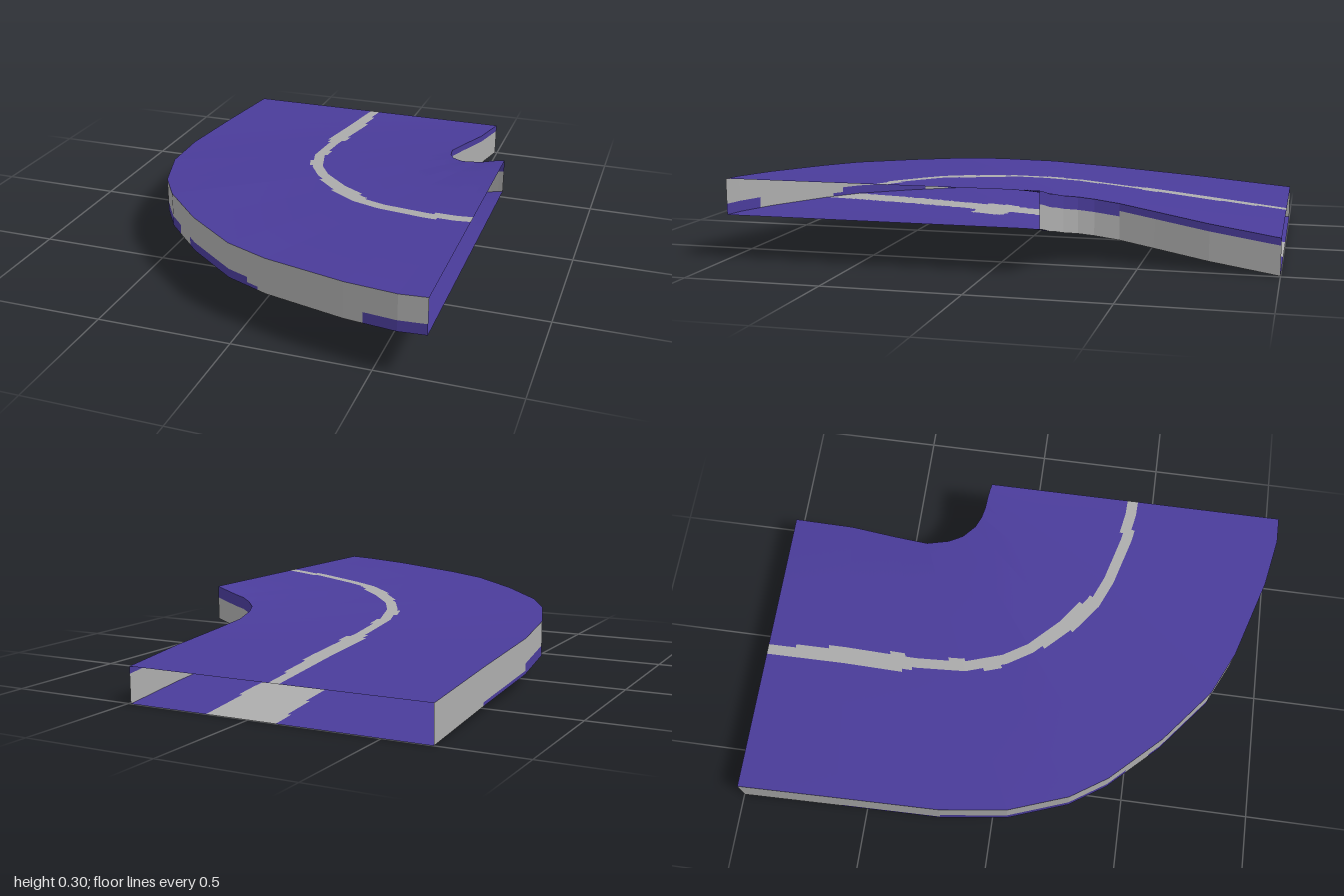
import * as THREE from 'three';

const THICK = 0.135;

// Stations along the bend: outer x, outer z, inner x, inner z, underside height
const stations = [
  [-0.68, -1, 0.49, -1, 0],
  [-0.68, -0.6, 0.47, -0.75, 0.035],
  [-0.68, -0.2, 0.435, -0.55, 0.065],
  [-0.65, 0.06, 0.415, -0.42, 0.085],
  [-0.57, 0.29, 0.43, -0.33, 0.1],
  [-0.48, 0.43, 0.455, -0.275, 0.11],
  [-0.3, 0.62, 0.5, -0.23, 0.12],
  [-0.09, 0.79, 0.54, -0.21, 0.131],
  [0.08, 0.87, 0.58, -0.2, 0.138],
  [0.39, 0.965, 0.63, -0.195, 0.152],
  [0.58, 1, 0.66, -0.19, 0.16],
  [0.68, 1, 0.68, -0.185, 0.165],
];

// Top centre line: x, z, half width
const centreLine = [
  [-0.1, -1, 0.022], [-0.1, -0.79, 0.022], [-0.1, -0.74, 0.037], [-0.105, -0.44, 0.034],
  [-0.103, -0.38, 0.022], [-0.095, -0.18, 0.025], [-0.065, -0.06, 0.026], [-0.01, 0.05, 0.023],
  [0.1, 0.18, 0.025], [0.14, 0.22, 0.038], [0.18, 0.25, 0.035], [0.24, 0.305, 0.024],
  [0.36, 0.355, 0.023], [0.5, 0.387, 0.022], [0.68, 0.405, 0.022],
];

// Underside band: z, left x, right x
const underBand = [
  [-1, -0.11, 0.17], [-0.5, -0.08, 0.16], [-0.38, -0.06, 0.11], [0.07, -0.04, 0.11],
  [0.08, -0.07, 0.21], [0.2, -0.07, 0.21], [0.21, -0.04, 0.11], [0.9, -0.1, 0.07],
];

const lerp = THREE.MathUtils.lerp;

// Linear interpolation through the stations, u in 0..stations.length-1
function station(u) {
  const i = Math.min(Math.floor(u), stations.length - 2);
  return stations[i].map((a, k) => lerp(a, stations[i + 1][k], u - i));
}

function onCentreLine(x, z) {
  for (let i = 0; i < centreLine.length - 1; i++) {
    const [ax, az, aw] = centreLine[i];
    const [bx, bz, bw] = centreLine[i + 1];
    const dx = bx - ax, dz = bz - az;
    const t = THREE.MathUtils.clamp(((x - ax) * dx + (z - az) * dz) / (dx * dx + dz * dz), 0, 1);
    if (Math.hypot(x - ax - dx * t, z - az - dz * t) < lerp(aw, bw, t)) return true;
  }
  return false;
}

function onUnderBand(x, z) {
  for (let i = 0; i < underBand.length - 1; i++) {
    const [az, al, ar] = underBand[i];
    const [bz, bl, br] = underBand[i + 1];
    if (z < az || z > bz) continue;
    const t = (z - az) / (bz - az);
    return x > lerp(al, bl, t) && x < lerp(ar, br, t);
  }
  return false;
}

// Purple edging along the foot of the outer wall
function outerWallIsGrey(x, z, v) {
  let edge = 0;
  if (x > 0.46) edge = 0.29;
  else if (x > 0.04) edge = 0;
  else if (x > 0) edge = 0.1;
  else if (x > -0.34) edge = 0.27;
  else if (x > -0.42) edge = 0;
  else if (z > -0.2) edge = 0.3;
  else if (z > -0.6) edge = 0.1;
  return v > edge;
}

// Purple edging along the head of the inner wall
const innerWallIsGrey = (x, z, v) => v < (z > -0.42 ? 0.66 : 0.78);

// Grid surface whose cells go to the grey or the purple material
function paintedSurface(name, point, isGrey, rows, flip, materials) {
  const cols = (stations.length - 1) * 14;
  const lists = [[], []];
  for (let i = 0; i < cols; i++) {
    for (let j = 0; j < rows; j++) {
      const P = (a, b) => point(station((a / cols) * (stations.length - 1)), b / rows);
      const a = P(i, j), b = P(i + 1, j), c = P(i + 1, j + 1), d = P(i, j + 1);
      const m = P(i + 0.5, j + 0.5);
      const list = lists[isGrey(m[0], m[2], (j + 0.5) / rows) ? 1 : 0];
      list.push(...(flip ? [a, c, b, a, d, c] : [a, b, c, a, c, d]).flat());
    }
  }
  const geometry = new THREE.BufferGeometry();
  geometry.setAttribute('position', new THREE.Float32BufferAttribute(lists[0].concat(lists[1]), 3));
  geometry.addGroup(0, lists[0].length / 3, 0);
  geometry.addGroup(lists[0].length / 3, lists[1].length / 3, 1);
  geometry.computeVertexNormals();
  const mesh = new THREE.Mesh(geometry, materials);
  mesh.name = name;
  return mesh;
}

export function createModel() {
  const purple = new THREE.MeshStandardMaterial({ color: 0x4a3c9a, side: THREE.DoubleSide });
  purple.name = 'purple';
  const grey = new THREE.MeshStandardMaterial({ color: 0xacacac, side: THREE.DoubleSide });
  grey.name = 'grey';
  const mats = [purple, grey];

  const deck = (lift) => (s, v) => [lerp(s[0], s[2], v), s[4] + lift, lerp(s[1], s[3], v)];
  const wall = (k) => (s, v) => [s[k], s[4] + v * THICK, s[k + 1]];

  // Hollow rising bend, open at both ends
  const group = new THREE.Group();
  group.name = 'curvedRamp';
  group.add(
    paintedSurface('roadTop', deck(THICK), onCentreLine, 84, false, mats),
    paintedSurface('underside', deck(0), onUnderBand, 84, true, mats),
    paintedSurface('outerWall', wall(0), outerWallIsGrey, 20, false, mats),
    paintedSurface('innerWall', wall(2), innerWallIsGrey, 20, true, mats),
  );
  return group;
}
